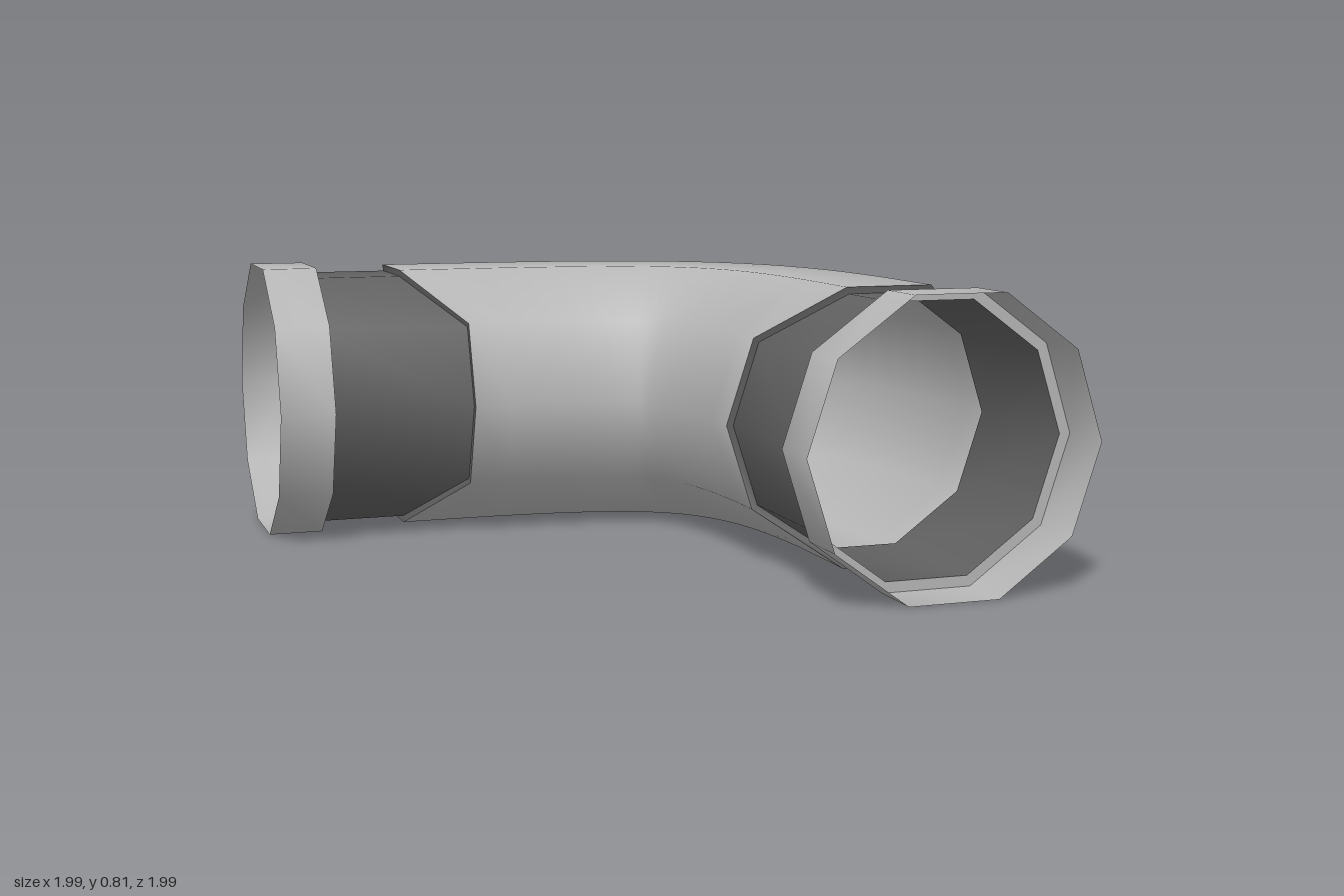
import * as THREE from 'three';

const SIDES = 10;
const AXIS_Y = 0.405;   // height of the pipe's centre line
const OFFSET = 0.567;   // distance of each straight arm from the model's centre
const UP = new THREE.Vector3(0, 1, 0);
const ELBOW_R = 0.413, PIPE_R = 0.393, COLLAR_R = 0.425;
const ELBOW_END = 0.42, TAB = 0.165;

const lightGrey = new THREE.MeshStandardMaterial({ color: 0xb6b6b6, side: THREE.DoubleSide });
lightGrey.name = 'light grey';
const darkGrey = new THREE.MeshStandardMaterial({ color: 0x606060, side: THREE.DoubleSide });
darkGrey.name = 'dark grey';

// Ten-sided cross-section; tab pushes its top and bottom corners along the axis
function section(centre, dir, radius, tab = 0) {
  const side = new THREE.Vector3().crossVectors(UP, dir);
  return Array.from({ length: SIDES }, (_, k) => {
    const a = (k / SIDES) * Math.PI * 2;
    const push = Math.abs(Math.sin(a)) > 0.9 ? tab : 0;
    return centre.clone()
      .addScaledVector(side, Math.cos(a) * radius)
      .addScaledVector(UP, Math.sin(a) * radius)
      .addScaledVector(dir, push);
  });
}

// Skin joining successive cross-sections
function skin(name, sections, material) {
  const index = [];
  for (let i = 0; i < sections.length - 1; i++) {
    for (let k = 0; k < SIDES; k++) {
      const n = (k + 1) % SIDES;
      const a = i * SIDES + k, b = i * SIDES + n;
      index.push(a, b, b + SIDES, a, b + SIDES, a + SIDES);
    }
  }
  const geometry = new THREE.BufferGeometry().setFromPoints(sections.flat());
  geometry.setIndex(index);
  geometry.computeVertexNormals();
  const mesh = new THREE.Mesh(geometry, material);
  mesh.name = name;
  return mesh;
}

// Curved sleeve with a tab at the top and bottom of each end
function elbow() {
  const e = ELBOW_END, o = OFFSET, handle = 0.793;
  const path = new THREE.CubicBezierCurve3(
    new THREE.Vector3(-e, AXIS_Y, -o),
    new THREE.Vector3(-e + handle, AXIS_Y, -o),
    new THREE.Vector3(o, AXIS_Y, e - handle),
    new THREE.Vector3(o, AXIS_Y, e)
  );
  const steps = 18, rows = [];
  for (let i = 0; i <= steps; i++) {
    const t = i / steps;
    const tab = i === 0 ? -TAB : i === steps ? TAB : 0;
    rows.push(section(path.getPoint(t), path.getTangent(t), ELBOW_R, tab));
  }
  return skin('elbow', rows, lightGrey);
}

// Straight end: inner pipe, lip under the elbow edge, open collar with a shoulder
function arm(name, origin, dir) {
  const group = new THREE.Group();
  group.name = name;
  const at = (d, r, tab) => section(origin.clone().addScaledVector(dir, d), dir, r, tab);
  group.add(
    skin('pipe', [at(0.41, PIPE_R), at(0.84, PIPE_R)], darkGrey),
    skin('elbowLip', [at(ELBOW_END, ELBOW_R, TAB), at(ELBOW_END, PIPE_R, TAB)], darkGrey),
    skin('collarShoulder', [at(0.84, PIPE_R), at(0.84, COLLAR_R)], lightGrey),
    skin('collar', [at(0.84, COLLAR_R), at(1, COLLAR_R)], lightGrey)
  );
  return group;
}

export function createModel() {
  const model = new THREE.Group();
  model.name = 'pipeElbow';
  model.add(
    elbow(),
    arm('frontArm', new THREE.Vector3(OFFSET, AXIS_Y, 0), new THREE.Vector3(0, 0, 1)),
    arm('rightArm', new THREE.Vector3(0, AXIS_Y, -OFFSET), new THREE.Vector3(-1, 0, 0))
  );
  return model;
}
